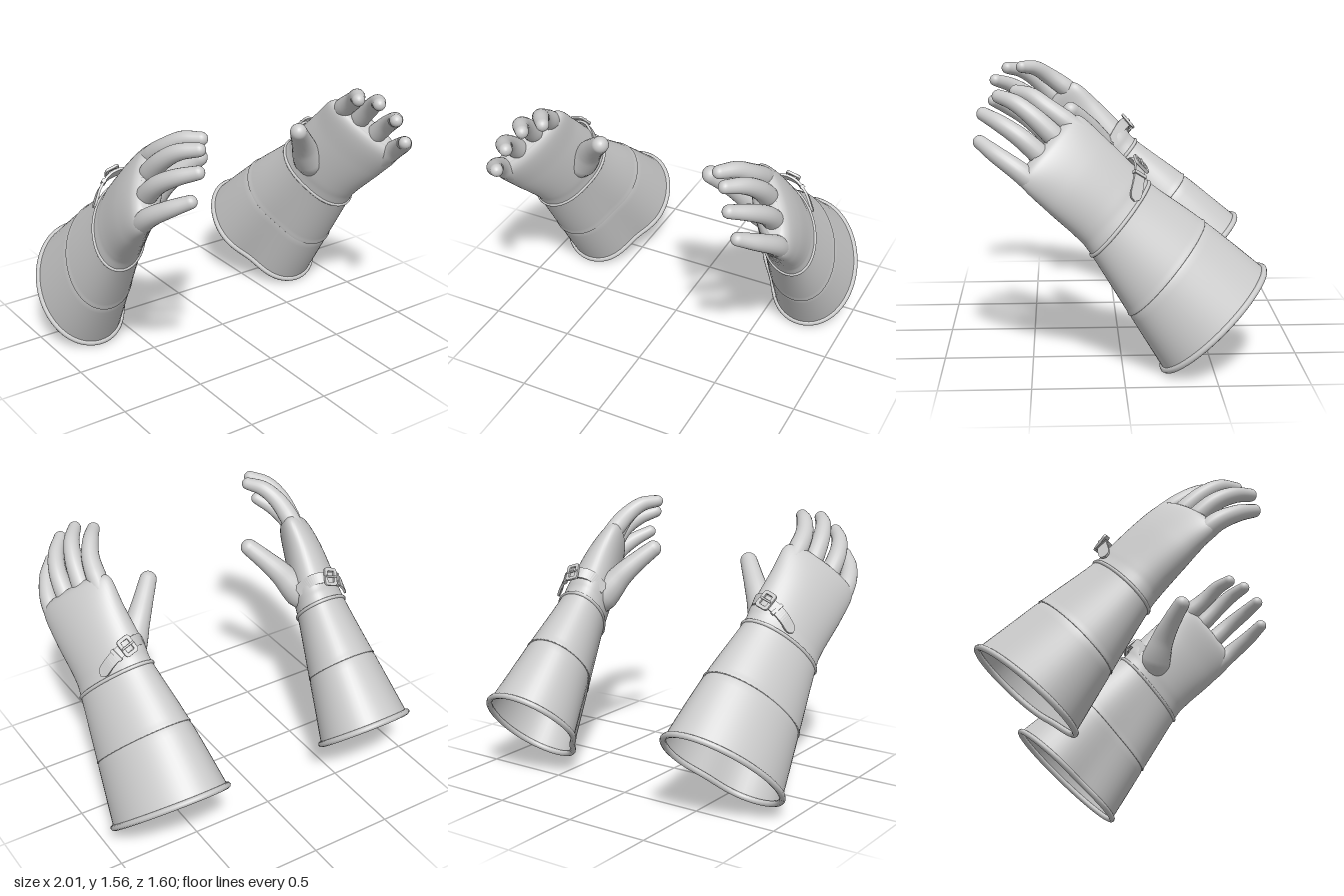
import * as THREE from 'three';

const V = (x, y, z) => new THREE.Vector3(x, y, z);
const solid = new THREE.MeshStandardMaterial({ color: 0xcccccc });
const thin = new THREE.MeshStandardMaterial({ color: 0xcccccc, side: THREE.DoubleSide });

// Stations from cuff mouth to finger webs:
// [back edge z, y, front edge z, y, min x, max x, slant, flattening of inner front]
const STATIONS = [
  [-0.785, 0.545, -0.22, 0.02, 0.365, 0.985, 0.2, 0.17],
  [-0.455, 0.815, -0.03, 0.34, 0.44, 0.94, 0.3, 0.12],
  [-0.15, 1.04, 0.17, 0.675, 0.52, 0.9, 0.4, 0.06],
  [-0.07, 1.13, 0.25, 0.78, 0.535, 0.895, 0.45, 0.03],
  [0.1, 1.3, 0.42, 0.95, 0.575, 0.91, 0.6, 0],
  [0.225, 1.41, 0.54, 1.085, 0.595, 0.905, 0.76, 0],
  [0.3, 1.4, 0.52, 1.175, 0.64, 0.85, 0.85, 0],
];

// Smooth interpolation of the station values
function stationAt(u) {
  const i = Math.min(Math.floor(u), STATIONS.length - 2), f = u - i;
  const at = (k) => STATIONS[Math.max(0, Math.min(STATIONS.length - 1, k))];
  return STATIONS[0].map((_, k) => {
    const [a, b, c, d] = [at(i - 1)[k], at(i)[k], at(i + 1)[k], at(i + 2)[k]];
    return b + 0.5 * f * (c - a + f * (2 * a - 5 * b + 4 * c - d + f * (3 * (b - c) + d - a)));
  });
}

// One slanted oval cross-section of the arm
function ring(u, grow = 1, n = 56) {
  const [zb, yb, zf, yf, x0, x1, slant, flat] = stationAt(u);
  const phi = Math.asin(slant);
  return Array.from({ length: n }, (_, j) => {
    const t = 2 * Math.PI * (1 - j / n);
    const g = grow * (1 - flat * Math.exp(-(((t - 2.4) / 0.45) ** 2)));
    const s = 0.5 * g * Math.sin(t + phi);
    return V((x0 + x1) / 2 + 0.5 * (x1 - x0) * g * Math.cos(t),
      (yb + yf) / 2 + (yf - yb) * s, (zb + zf) / 2 + (zf - zb) * s);
  });
}

const rings = (from, to, count) =>
  Array.from({ length: count + 1 }, (_, i) => ring(from + ((to - from) * i) / count));

// Skin over a list of closed cross-sections
function loft(sections) {
  const n = sections[0].length, index = [];
  for (let i = 0; i < sections.length - 1; i++)
    for (let j = 0; j < n; j++) {
      const k = (j + 1) % n, a = i * n, b = a + n;
      index.push(a + j, a + k, b + j, a + k, b + k, b + j);
    }
  const g = new THREE.BufferGeometry().setFromPoints(sections.flat());
  g.setIndex(index);
  g.computeVertexNormals();
  return g;
}

// Tapered round limb with a domed tip
function limb(points, radii, n = 20, steps = 24) {
  const curve = new THREE.CatmullRomCurve3(points.map((p) => V(...p)));
  const frames = curve.computeFrenetFrames(steps);
  const circle = (c, r, i) => Array.from({ length: n }, (_, j) => {
    const t = (2 * Math.PI * j) / n;
    return c.clone().addScaledVector(frames.normals[i], r * Math.cos(t))
      .addScaledVector(frames.binormals[i], r * Math.sin(t));
  });
  const sections = [];
  for (let i = 0; i <= steps; i++) {
    const q = (i / steps) * (radii.length - 1), k = Math.min(Math.floor(q), radii.length - 2);
    const r = THREE.MathUtils.lerp(radii[k], radii[k + 1], q - k);
    sections.push(circle(curve.getPointAt(i / steps), r, i));
  }
  const r = radii[radii.length - 1], end = curve.getPointAt(1);
  for (let i = 1; i <= 7; i++) {
    const a = (i / 7) * Math.PI * 0.498;
    sections.push(circle(end.clone().addScaledVector(frames.tangents[steps], r * Math.sin(a)), r * Math.cos(a), steps));
  }
  return loft(sections);
}

const ringTube = (u, grow, r) =>
  new THREE.TubeGeometry(new THREE.CatmullRomCurve3(ring(u, grow), true), 96, r, 8, true);

// Strap path over the back of the wrist, with its facing direction
const strapCurve = new THREE.CatmullRomCurve3([
  V(0.53, 1.05, 0.01), V(0.585, 1.135, -0.045), V(0.64, 1.155, -0.075),
  V(0.715, 1.135, -0.087), V(0.78, 1.08, -0.078), V(0.838, 0.985, -0.055)]);
function strapFrame(u) {
  const p = strapCurve.getPointAt(u), t = strapCurve.getTangentAt(u);
  const arm = V(0, 0.77, 0.64);
  const out = t.clone().cross(arm).normalize();
  if (out.dot(p.clone().sub(V(0.715, 0.95, 0.09))) < 0) out.negate();
  return { p, t, out, side: out.clone().cross(t) };
}

function strapGeometry() {
  const sections = [];
  for (let i = 0; i <= 36; i++) {
    const u = i / 36, { p, out, side } = strapFrame(u);
    const d = Math.max(0, (u - 0.9) / 0.1);
    const w = 0.033 * Math.sqrt(Math.max(0.002, 1 - d * d));
    sections.push([[-w, -0.007], [w, -0.007], [w, 0.007], [-w, 0.007]].map(([a, b]) =>
      p.clone().addScaledVector(side, a).addScaledVector(out, b)));
  }
  return loft(sections).toNonIndexed();
}

function roundedRect(path, w, h, r) {
  path.moveTo(-w + r, -h);
  for (const [cx, cy, a] of [[w - r, -h + r, -0.5], [w - r, h - r, 0], [-w + r, h - r, 0.5], [-w + r, -h + r, 1]])
    path.absarc(cx, cy, r, a * Math.PI, (a + 0.5) * Math.PI, false);
  return path;
}

// Seat a geometry on the strap: x along it, y across, z outwards
function onStrap(geometry, u, lift) {
  const { p, t, out, side } = strapFrame(u);
  const m = new THREE.Matrix4().makeBasis(t, side, out).setPosition(p.addScaledVector(out, lift));
  return geometry.applyMatrix4(m);
}

function gloveParts() {
  const parts = [];
  const add = (name, geometry, material = solid) => parts.push({ name, geometry, material });

  // Flared gauntlet
  add('cuff', loft([...rings(0, 0.95, 14), ring(1, 0.985)]), thin);
  add('cuffRim', ringTube(0, 1, 0.018));
  add('sleeve', loft([ring(1, 0.97), ring(1, 1.0), ring(1.01, 1.015), ...rings(1.05, 2, 14)]), thin);
  add('wristWelt', ringTube(2.03, 0.995, 0.011));

  // Hand with closed finger webs
  add('hand', loft([...rings(2, 6, 44), ring(6, 0.6), ring(6, 0.01)]), thin);
  const fingers = {
    indexFinger: [[0.665, 1.33, 0.23], [0.64, 1.455, 0.4], [0.59, 1.515, 0.49], [0.53, 1.53, 0.57]],
    middleFinger: [[0.725, 1.25, 0.3], [0.71, 1.42, 0.475], [0.67, 1.49, 0.575], [0.605, 1.515, 0.662]],
    ringFinger: [[0.785, 1.15, 0.36], [0.785, 1.32, 0.54], [0.74, 1.39, 0.65], [0.665, 1.43, 0.742]],
    littleFinger: [[0.84, 1.04, 0.42], [0.848, 1.155, 0.55], [0.8, 1.235, 0.67], [0.725, 1.29, 0.76]],
  };
  for (const [name, path] of Object.entries(fingers))
    add(name, limb(path, [0.055, 0.058, 0.052, 0.046, 0.037]));
  add('thumb', limb([[0.68, 0.9, 0.04], [0.57, 1.02, 0.085], [0.485, 1.135, 0.145], [0.405, 1.225, 0.215], [0.347, 1.285, 0.27]],
    [0.08, 0.098, 0.074, 0.06, 0.05]));

  // Strap and buckle
  const strap = strapGeometry();
  strap.computeVertexNormals();
  add('strap', strap, thin);
  const frame = roundedRect(new THREE.Shape(), 0.04, 0.052, 0.016);
  frame.holes.push(roundedRect(new THREE.Path(), 0.025, 0.037, 0.008));
  const buckle = new THREE.ExtrudeGeometry(frame, {
    depth: 0.01, bevelEnabled: true, bevelSize: 0.003, bevelThickness: 0.003, bevelSegments: 2, curveSegments: 6 });
  add('buckle', onStrap(buckle, 0.5, 0.012));
  add('bucklePin', onStrap(new THREE.CylinderGeometry(0.006, 0.006, 0.075, 10).rotateZ(Math.PI / 2), 0.5, 0.025));
  add('strapKeeper', onStrap(new THREE.BoxGeometry(0.02, 0.08, 0.024), 0.66, 0.002));
  return parts;
}

// Mirror a geometry across x and restore its outward facing
function mirrored(geometry) {
  const g = geometry.clone().scale(-1, 1, 1);
  const index = g.index ? Array.from(g.index.array) : Array.from({ length: g.attributes.position.count }, (_, i) => i);
  for (let i = 0; i < index.length; i += 3) [index[i + 1], index[i + 2]] = [index[i + 2], index[i + 1]];
  g.setIndex(index);
  return g;
}

export function createModel() {
  const model = new THREE.Group();
  model.name = 'gauntletGloves';
  const left = new THREE.Group(), right = new THREE.Group();
  left.name = 'leftGlove';
  right.name = 'rightGlove';
  for (const { name, geometry, material } of gloveParts()) {
    const a = new THREE.Mesh(geometry, material), b = new THREE.Mesh(mirrored(geometry), material);
    a.name = b.name = name;
    left.add(a);
    right.add(b);
  }
  model.add(left, right);
  return model;
}
